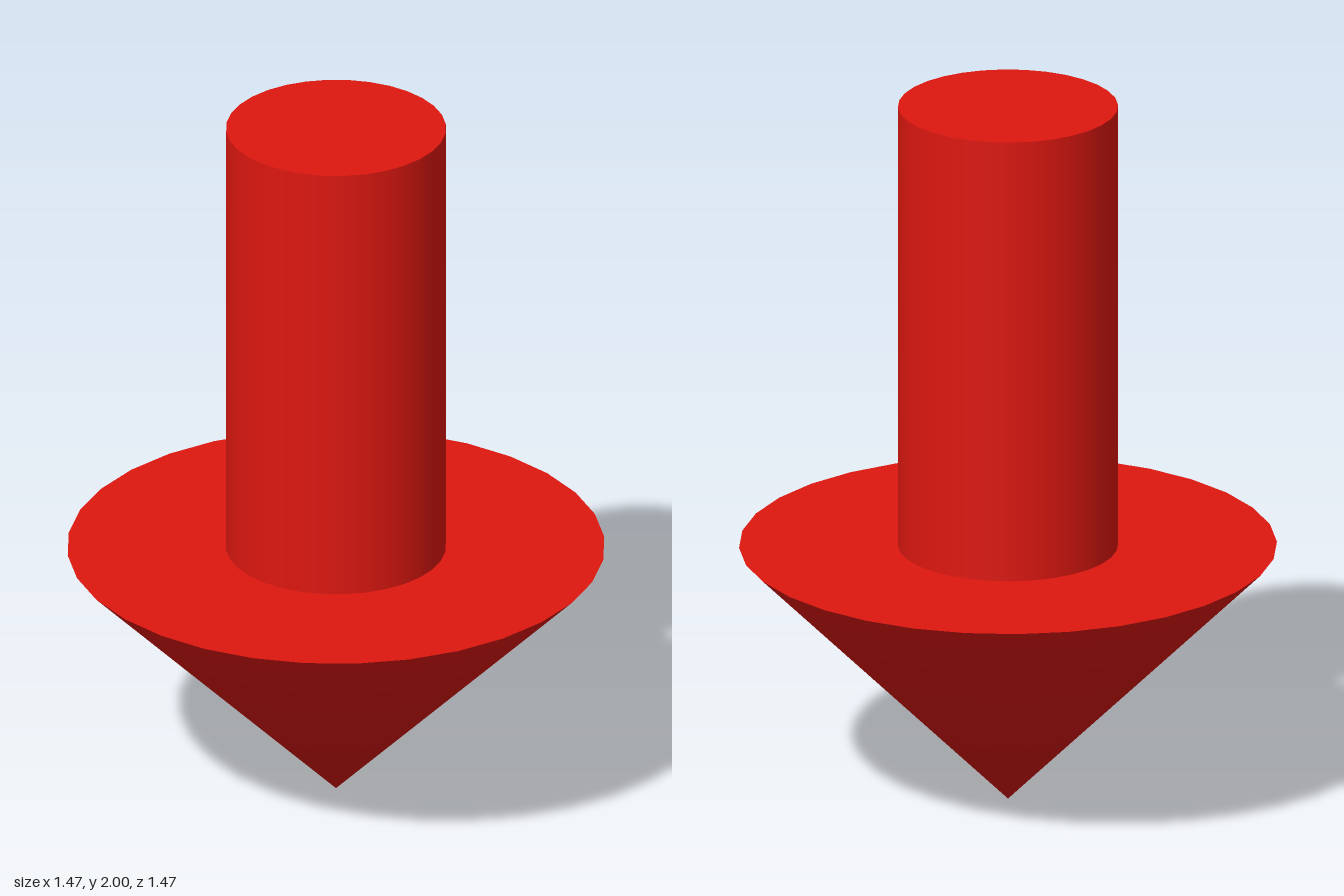
import * as THREE from 'three';

const SIDES = 32;
const HEAD = 0.733; // head radius and height
const SHAFT_RADIUS = 0.3;
const TOP = 2;

export function createModel() {
  const group = new THREE.Group();
  group.name = 'downArrow';
  const red = new THREE.MeshStandardMaterial({ color: 0xdd1710 });

  const add = (name, geometry, y) => {
    const mesh = new THREE.Mesh(geometry, red);
    mesh.name = name;
    mesh.position.y = y;
    group.add(mesh);
  };

  // Arrowhead: cone with its tip down and a flat top
  const cone = new THREE.ConeGeometry(HEAD, HEAD, SIDES).rotateX(Math.PI);
  // The tip is shaded as one smooth point facing straight down
  const { position, normal } = cone.attributes;
  for (let i = 0; i < position.count; i++) {
    if (position.getY(i) < -HEAD / 2 + 1e-4) normal.setXYZ(i, 0, -1, 0);
  }
  add('arrowHead', cone, HEAD / 2);

  // Shaft: round bar standing on the flat top of the head
  const length = TOP - HEAD;
  add('shaft', new THREE.CylinderGeometry(SHAFT_RADIUS, SHAFT_RADIUS, length, SIDES), HEAD + length / 2);

  return group;
}
